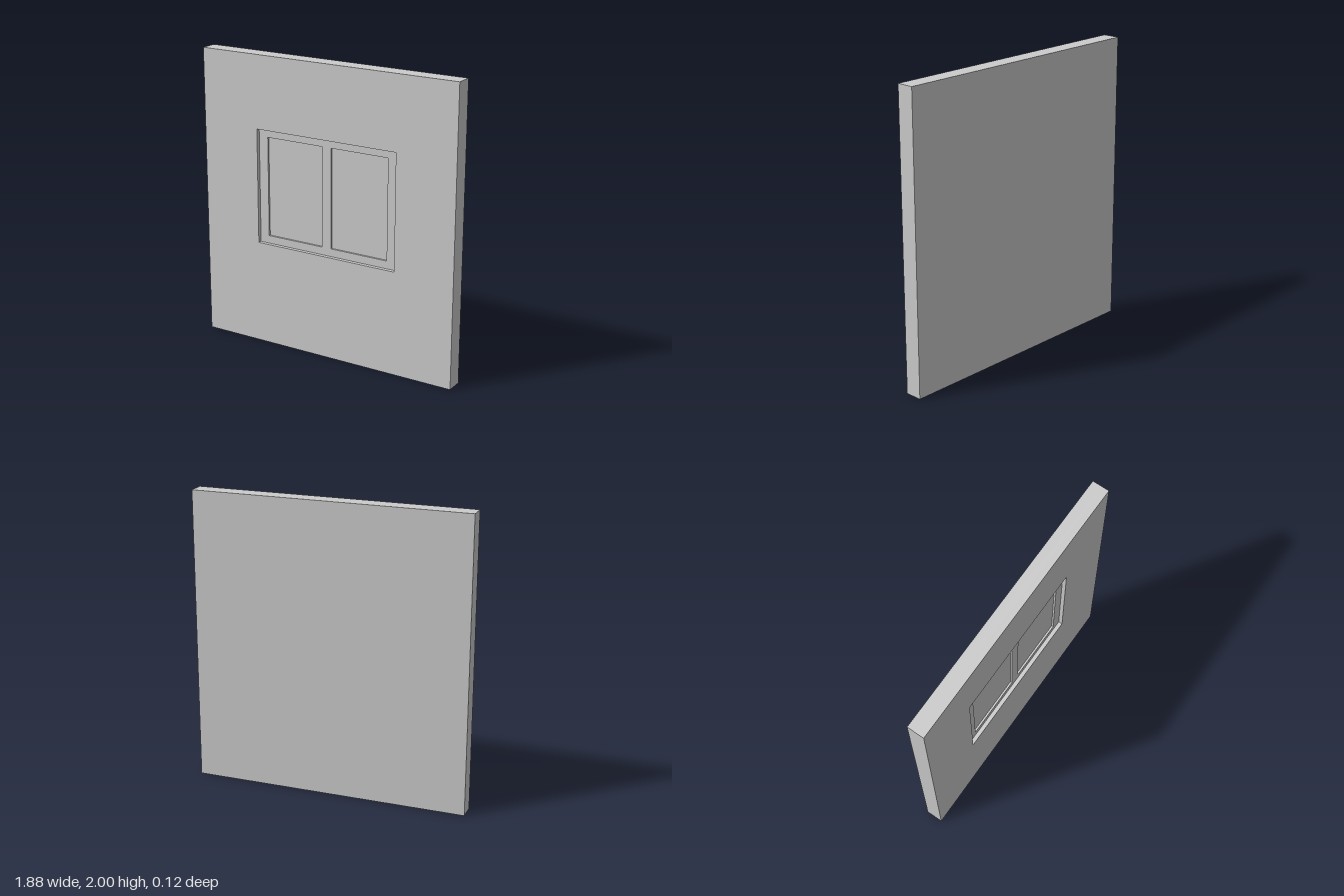
import * as THREE from 'three';

const material = new THREE.MeshStandardMaterial({ color: 0xcccccc, flatShading: true });

// Trace a rectangle [x0, y0, x1, y1] on a shape or hole path
function rect(path, [x0, y0, x1, y1]) {
  path.moveTo(x0, y0);
  path.lineTo(x1, y0);
  path.lineTo(x1, y1);
  path.lineTo(x0, y1);
  path.closePath();
  return path;
}

// Flat panel with rectangular holes, spanning z0 to z1
function panel(name, outline, holes, z0, z1) {
  const shape = rect(new THREE.Shape(), outline);
  holes.forEach((h) => shape.holes.push(rect(new THREE.Path(), h)));
  const geometry = new THREE.ExtrudeGeometry(shape, { depth: z1 - z0, bevelEnabled: false });
  geometry.translate(0, 0, z0);
  const mesh = new THREE.Mesh(geometry, material);
  mesh.name = name;
  return mesh;
}

export function createModel() {
  const group = new THREE.Group();
  group.name = 'wallWithWindow';

  const wall = [-0.942, 0, 0.942, 2];
  const opening = [-0.523, 0.714, 0.521, 1.503];
  const panes = [
    [-0.456, 0.767, -0.036, 1.45],
    [0.032, 0.767, 0.451, 1.45],
  ];
  const zBack = -0.058, zFront = 0.058;
  const zSlab = 0.014, zPane = 0.018, zFrame = 0.031;

  // Closed back of the wall and the front layer around the recess
  group.add(panel('wallBack', wall, [], zBack, zSlab));
  group.add(panel('wallFront', wall, [opening], zSlab, zFront));

  // Recessed two-light window
  group.add(panel('windowFrame', opening, panes, zSlab, zFrame));
  panes.forEach((p, i) => group.add(panel(i ? 'leftPane' : 'rightPane', p, [], zSlab, zPane)));

  return group;
}
